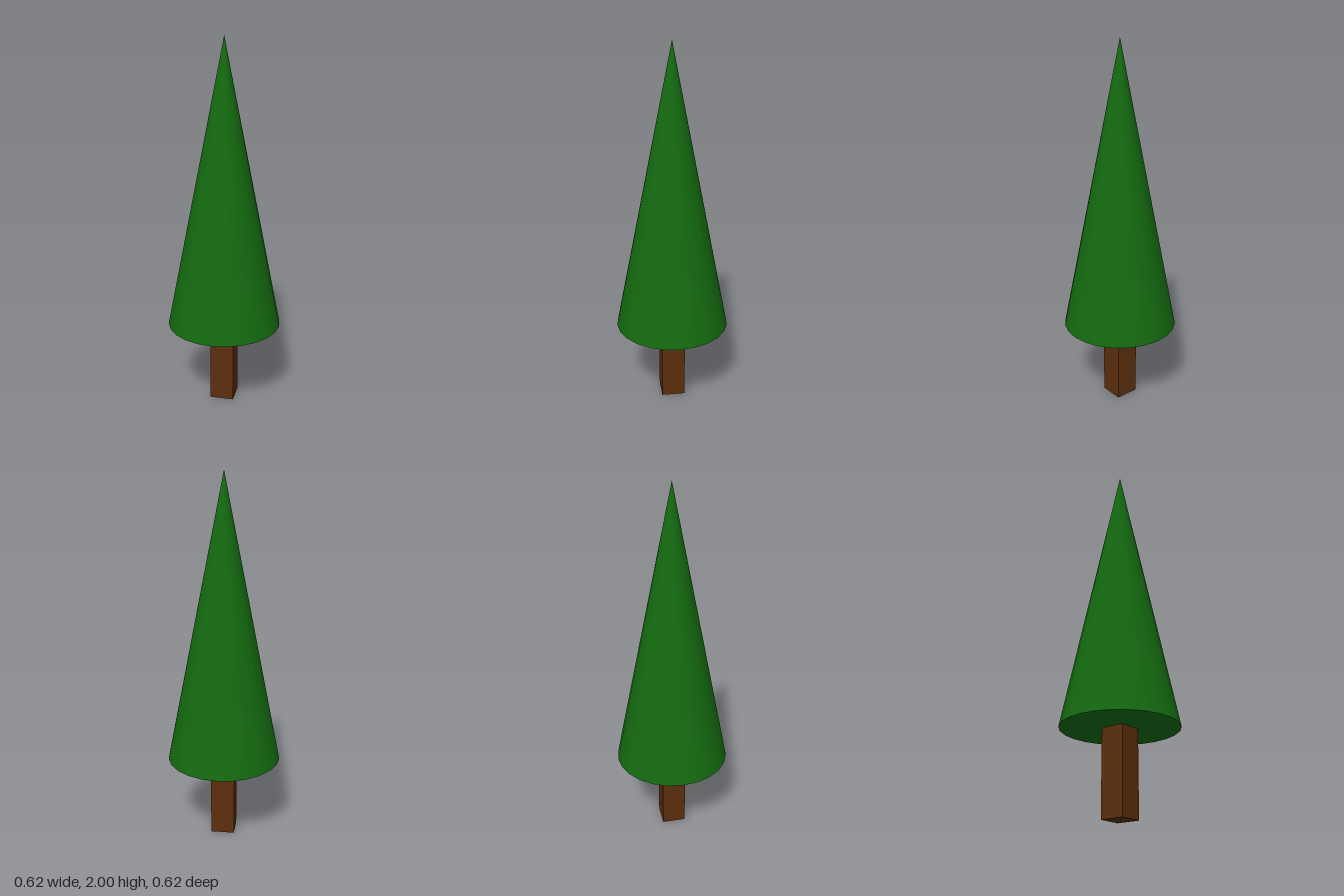
import * as THREE from 'three';

export function createModel() {
  const tree = new THREE.Group();
  tree.name = 'tree';

  const trunkHeight = 0.45, totalHeight = 2;
  const coneHeight = totalHeight - trunkHeight;

  const addPart = (name, geometry, color, y) => {
    const mesh = new THREE.Mesh(geometry, new THREE.MeshStandardMaterial({ color }));
    mesh.name = name;
    mesh.position.y = y;
    tree.add(mesh);
  };

  // Square trunk
  addPart('trunk', new THREE.BoxGeometry(0.13, trunkHeight, 0.13), 0x5c2e0e, trunkHeight / 2);

  // Smooth conical foliage with a flat underside
  addPart('foliage', new THREE.ConeGeometry(0.31, coneHeight, 24), 0x146b10, trunkHeight + coneHeight / 2);

  return tree;
}
